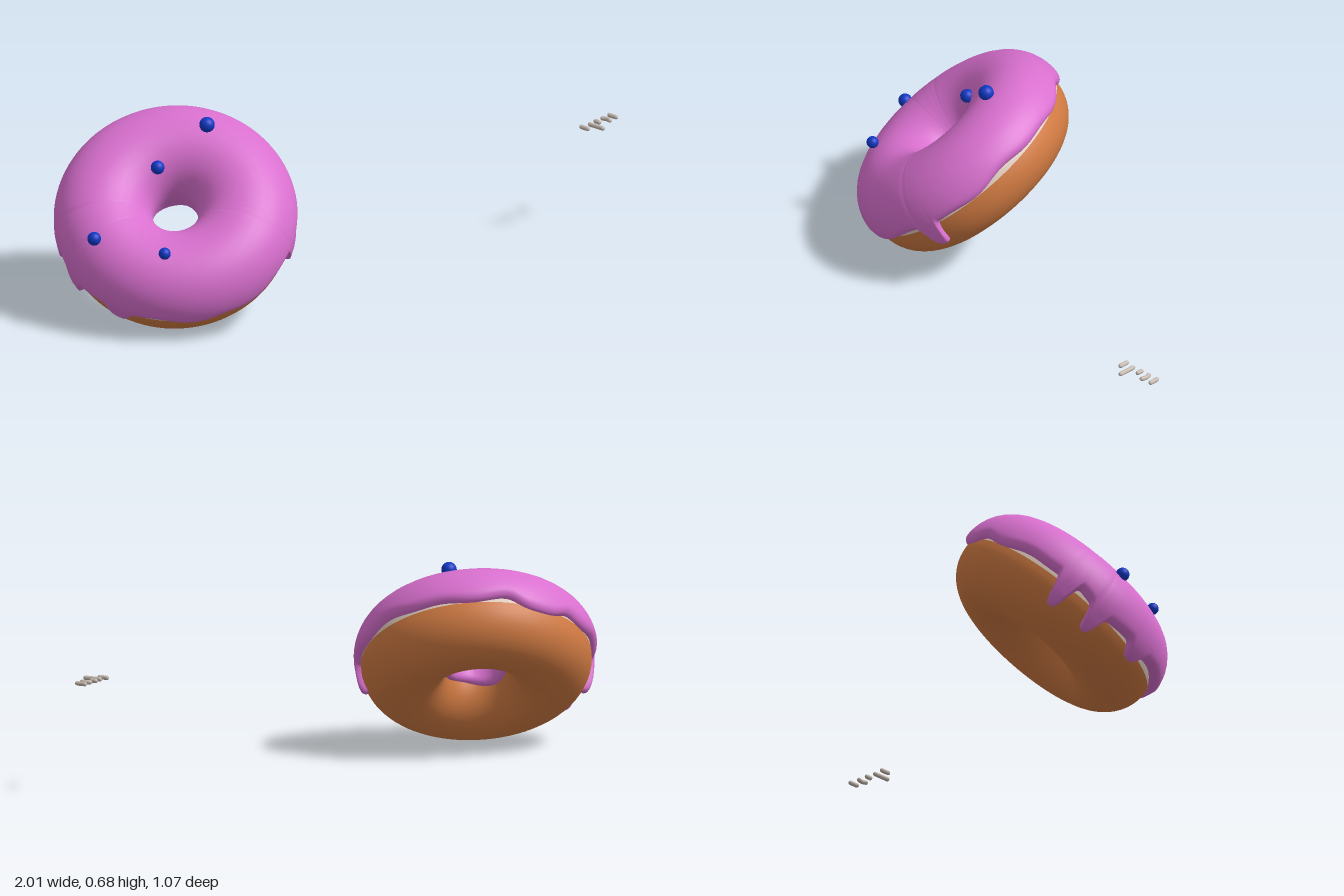
import * as THREE from 'three';
import { mergeVertices } from 'three/addons/utils/BufferGeometryUtils.js';

const mat = (name, color, side = THREE.FrontSide) => {
  const m = new THREE.MeshStandardMaterial({ color, side });
  m.name = name;
  return m;
};
const R = 0.252, r = 0.15; // ring radius and tube radius
const AXIS = new THREE.Vector3(-0.5, 0.775, 0.385).normalize();
const TILT = new THREE.Quaternion().setFromUnitVectors(new THREE.Vector3(0, 1, 0), AXIS);

const add = (parent, name, geometry, material) => {
  const mesh = new THREE.Mesh(geometry, material);
  mesh.name = name;
  parent.add(mesh);
  return mesh;
};

// part of the tube between two angles (0 = outward, PI/2 = top)
function tubeArc(from, to, steps) {
  const pts = [];
  for (let i = 0; i <= steps; i++) {
    const a = from + (to - from) * i / steps;
    pts.push(new THREE.Vector2(R + r * Math.cos(a), r * Math.sin(a)));
  }
  return new THREE.LatheGeometry(pts, 96);
}

// drips: direction from the ring centre, depth, half width
const drips = [
  [0.191, -0.06, 0.342, 0.62, 0.075],
  [-0.247, -0.125, -0.289, 0.72, 0.08],
  [-0.31, -0.186, -0.172, 0.55, 0.075],
  [-0.33, -0.224, 0.036, 0.28, 0.1],
  [0, -0.13, 0.38, 0.1, 0.3],
  [0.1, 0.21, -0.32, 0.2, 0.25],
].map(([x, y, z, depth, width]) => {
  const p = new THREE.Vector3(x, y, z).applyQuaternion(TILT.clone().invert());
  return { at: Math.atan2(p.x, p.z), depth, width };
});

// tube angle of the icing's outer rim
function rimAngle(phi) {
  let a = 0.14 + 0.05 * Math.sin(5 * phi + 1) + 0.03 * Math.sin(11 * phi);
  for (const d of drips) {
    const delta = Math.atan2(Math.sin(phi - d.at), Math.cos(phi - d.at));
    a -= d.depth * Math.exp(-Math.pow(delta / d.width, 4));
  }
  return a;
}

// lathe grid whose vertices follow the wavy rim, with rounded edges
function icingGeometry() {
  const segs = 360, rows = 36;
  const blank = Array.from({ length: rows + 1 }, (_, j) => new THREE.Vector2(1, j));
  const g = new THREE.LatheGeometry(blank, segs);
  const pos = g.attributes.position;
  for (let i = 0; i <= segs; i++) {
    const phi = (i % segs) / segs * Math.PI * 2;
    const start = rimAngle(phi), end = Math.PI + 0.25 + 0.06 * Math.sin(3 * phi);
    for (let j = 0; j <= rows; j++) {
      const u = j / rows;
      const a = start + (end - start) * (u - 0.85 * Math.sin(2 * Math.PI * u) / (2 * Math.PI));
      const gap = Math.min(1, Math.min(a - start, end - a) * r / 0.025);
      const thick = 0.02 + 0.035 * Math.max(0, Math.sin(a));
      const rho = r - 0.003 + (thick + 0.003) * Math.sqrt(Math.max(0, 1 - (1 - gap) ** 2));
      const d = R + rho * Math.cos(a);
      pos.setXYZ(i * (rows + 1) + j, d * Math.sin(phi), rho * Math.sin(a), d * Math.cos(phi));
    }
  }
  g.deleteAttribute('uv');
  g.deleteAttribute('normal');
  const merged = mergeVertices(g, 1e-5);
  merged.computeVertexNormals();
  return merged;
}

export function createModel() {
  const dough = mat('brown dough', 0xd07a42);
  const pale = mat('pale dough', 0xdccabb);
  const pink = mat('pink icing', 0xd970cf, THREE.DoubleSide);
  const blue = mat('blue', 0x1038c4);
  const beige = mat('beige', 0xc6bbb0);
  const model = new THREE.Group();
  model.name = 'doughnutAndSprinkles';

  // tilted ring
  const ring = new THREE.Group();
  ring.name = 'doughnut';
  ring.position.set(-0.598, 0.309, -0.15);
  ring.quaternion.copy(TILT);
  model.add(ring);
  add(ring, 'dough', tubeArc(0.5, 0.08 + Math.PI * 2, 48), dough);
  add(ring, 'paleBand', tubeArc(0.08, 0.5, 6), pale);
  add(ring, 'icing', icingGeometry(), pink);

  // round beads on the icing
  [[-0.475, 0.648, -0.115, 0.027], [-0.65, 0.52, -0.19, 0.024],
    [-0.973, 0.345, -0.2, 0.024], [-0.88, 0.325, 0.045, 0.021]].forEach(([x, y, z, s]) => {
    add(model, 'bead', new THREE.SphereGeometry(s, 24, 16), blue).position.set(x, y, z);
  });

  // loose rods beside the ring: x, back z, front z, bend
  const rad = 0.008;
  [[0.842, 0.455, 0.5, 0], [0.88, 0.46, 0.535, 0], [0.916, 0.455, 0.487, 0],
    [0.953, 0.455, 0.503, 0.008], [0.992, 0.452, 0.498, 0]].forEach(([x, z0, z1, bend]) => {
    const rod = new THREE.Group();
    rod.name = 'sprinkle';
    model.add(rod);
    const a = new THREE.Vector3(x, 0.405, z0 + rad), b = new THREE.Vector3(x, 0.405, z1 - rad);
    const mid = a.clone().lerp(b, 0.5);
    mid.x += bend;
    add(rod, 'rod', new THREE.TubeGeometry(new THREE.QuadraticBezierCurve3(a, mid, b), 8, rad, 12), beige);
    for (const end of [a, b]) {
      add(rod, 'roundEnd', new THREE.SphereGeometry(rad, 12, 8), beige).position.copy(end);
    }
  });
  return model;
}
